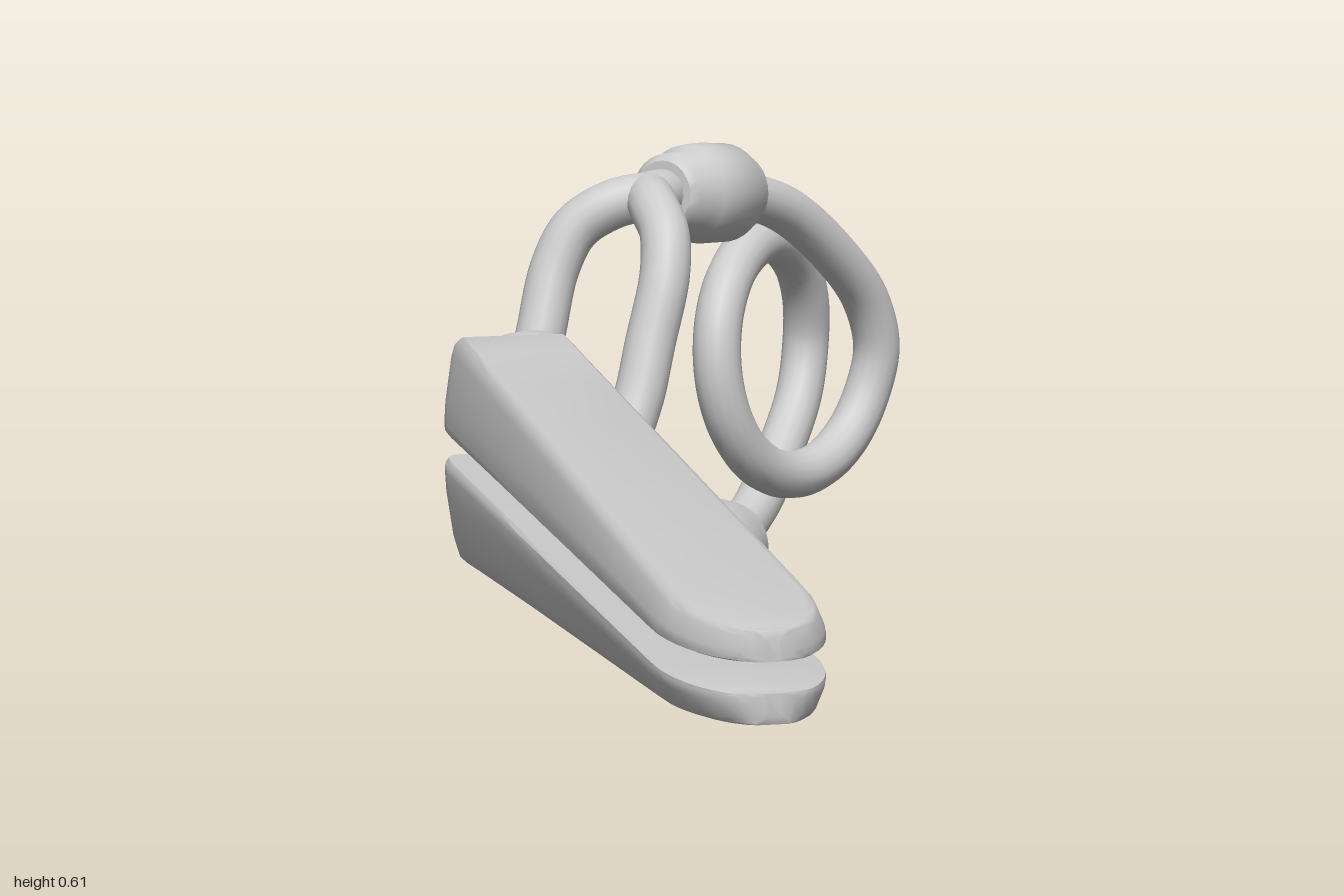
import * as THREE from 'three';
import { toCreasedNormals } from 'three/addons/utils/BufferGeometryUtils.js';

const X0 = -0.505;   // plane of the wire frame
const MID = 0.31;    // height of the symmetry plane
const WIRE = 0.032;
const material = new THREE.MeshStandardMaterial({ color: 0xcccccc });

function addMesh(parent, name, geometry) {
  const mesh = new THREE.Mesh(geometry, material);
  mesh.name = name;
  parent.add(mesh);
  return mesh;
}

// Round wire through [x offset, y, z] points
function wire(points, segments) {
  const curve = new THREE.CatmullRomCurve3(points.map(([x, y, z]) => new THREE.Vector3(X0 + x, y, z)));
  return new THREE.TubeGeometry(curve, segments, WIRE, 16);
}

// Tapered jaw lofted along z: flat inner face at y = 0, narrower outer face
function jawGeometry() {
  const half = [[0.94, 0], [0.99, 0.04], [1, 0.12], [0.98, 0.35], [0.88, 0.82], [0.83, 0.94], [0.74, 1]];
  const section = [...half, ...half.map(([x, y]) => [-x, y]).reverse()];
  const height = (s) => 0.03 + 0.09 * (1.12 - s) / 1.36;
  // stations: [along, half width, height]
  const stations = [[-0.312, 0.066, 0.085], [-0.305, 0.073, 0.1], [-0.285, 0.079, 0.114], [-0.25, 0.081, 0.121]];
  for (let i = 0; i <= 6; i++) {
    const s = -0.15 + i * 0.18;
    stations.push([s, 0.081, height(s)]);
  }
  // rounded tip
  for (let i = 1; i <= 10; i++) {
    const a = (i / 10) * Math.PI * 0.48;
    const s = 0.95 + 0.173 * Math.sin(a);
    stations.push([s, 0.081 * Math.pow(Math.cos(a), 0.9), height(s) * (i === 10 ? 0.75 : 1)]);
  }
  const pos = [], index = [], n = section.length;
  for (const [s, w, h] of stations) for (const [x, y] of section) pos.push(x * w, y * h, s);
  for (let k = 0; k < stations.length - 1; k++) {
    for (let i = 0; i < n; i++) {
      const a = k * n + i, b = k * n + (i + 1) % n;
      index.push(a, b, b + n, a, b + n, a + n);
    }
  }
  const last = (stations.length - 1) * n;
  for (let i = 1; i < n - 1; i++) {
    index.push(0, i + 1, i);
    index.push(last, last + i, last + i + 1);
  }
  const geometry = new THREE.BufferGeometry();
  geometry.setAttribute('position', new THREE.Float32BufferAttribute(pos, 3));
  geometry.setIndex(index);
  return toCreasedNormals(geometry, 0.7);
}

export function createModel() {
  const model = new THREE.Group();
  model.name = 'reverseActionClamp';

  // Jaws, set at 45 degrees; the lower one is the upper one rolled over
  const jaw = jawGeometry();
  for (const [name, side] of [['upperJaw', 1], ['lowerJaw', -1]]) {
    const mesh = addMesh(model, name, jaw);
    mesh.position.set(-0.191, MID + side * 0.015, 0.191);
    mesh.rotation.set(0, Math.PI / 4, side > 0 ? 0 : Math.PI);
  }

  // Bent shank from a jaw to the wire plane
  const shank = (y) => [[0.14, y, 0.015], [0.095, y, -0.03], [0.055, y, -0.065], [0.018, y, -0.11], [0, y, -0.17]];

  // Upper jaw's wire dips through the split loop to the lower collar
  addMesh(model, 'crossingWire', wire([
    ...shank(0.383), [0, 0.383, -0.22], [0, 0.367, -0.275], [0, 0.315, -0.322], [0, 0.235, -0.362],
    [0, 0.15, -0.4], [0, 0.095, -0.44], [0, 0.07, -0.49], [0, 0.068, -0.54], [0, 0.07, -0.6],
  ], 90));

  // Lower jaw's wire splits in two and rejoins at the upper collar
  addMesh(model, 'lowerShank', wire([...shank(0.235), [0, 0.235, -0.21], [0, 0.236, -0.25]], 40));
  for (const side of [-1, 1]) {
    addMesh(model, side > 0 ? 'loopLeft' : 'loopRight', wire([
      [0, 0.235, -0.225], [side * 0.045, 0.237, -0.257], [side * 0.077, 0.262, -0.295],
      [side * 0.084, 0.315, -0.33], [side * 0.084, 0.39, -0.362], [side * 0.084, 0.47, -0.395],
      [side * 0.068, 0.52, -0.42], [side * 0.03, 0.55, -0.452], [0, 0.558, -0.49],
      [0, 0.558, -0.53], [0, 0.553, -0.59],
    ], 70));
  }

  // Stepped collars
  const profile = [[0, -0.09], [0.045, -0.09], [0.054, -0.083], [0.056, -0.066], [0.065, -0.055], [0.066, 0],
    [0.063, 0.035], [0.055, 0.045], [0.052, 0.08], [0.043, 0.09], [0, 0.09]];
  const collar = toCreasedNormals(
    new THREE.LatheGeometry(profile.map(([r, t]) => new THREE.Vector2(r, t)), 32), 0.8);
  for (const [name, side] of [['upperCollar', 1], ['lowerCollar', -1]]) {
    const mesh = addMesh(model, name, collar);
    mesh.position.set(X0, MID + side * 0.241, -0.608);
    mesh.rotation.x = Math.PI / 2 - side * 0.08;
  }

  // Spring: upper arm, one helical turn, lower arm
  const arm = [[0, 0.553, -0.6], [0.009, 0.542, -0.69], [0.024, 0.514, -0.78], [0.042, 0.447, -0.876],
    [0.053, 0.378, -0.942]];
  const coil = [];
  for (let i = 0; i <= 16; i++) {
    const a = (i / 16) * Math.PI * 2;
    coil.push([0.057 * (1 - a / Math.PI), MID - 0.157 * Math.sin(a), -0.808 - 0.157 * Math.cos(a)]);
  }
  const lowerArm = arm.map(([x, y, z]) => [-x, 2 * MID - y, z]).reverse();
  addMesh(model, 'coilSpring', wire([...arm, ...coil, ...lowerArm], 180));

  return model;
}
